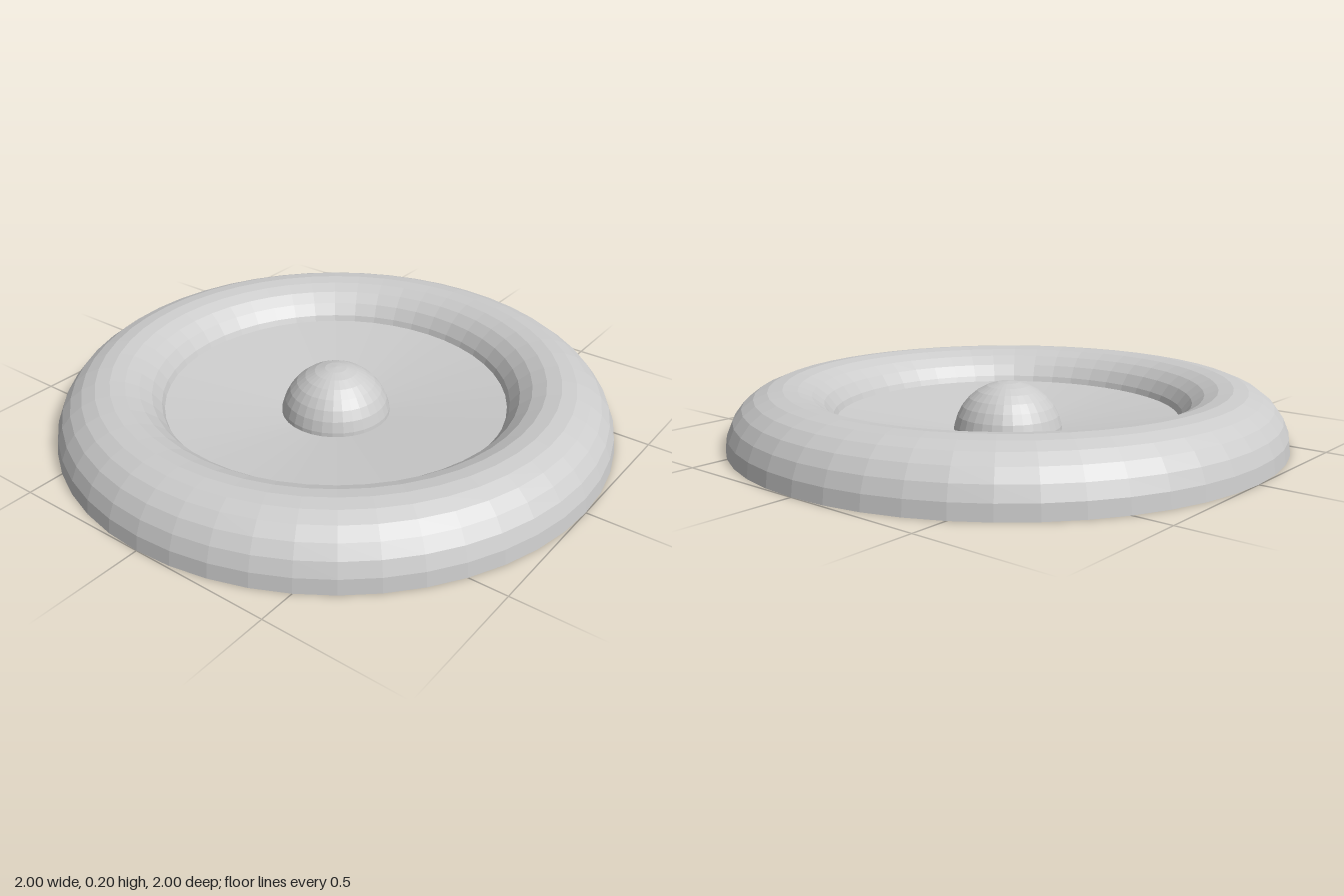
import * as THREE from 'three';

const material = new THREE.MeshStandardMaterial({
  color: 0xcccccc, flatShading: true, side: THREE.DoubleSide,
});

// Revolve a profile of [radius, height] pairs, listed from the outside in
function revolved(name, profile, segments) {
  const points = profile.map(([r, y]) => new THREE.Vector2(r, y));
  const mesh = new THREE.Mesh(new THREE.LatheGeometry(points, segments), material);
  mesh.name = name;
  return mesh;
}

// Circular arc profile from angle 0 to end, starting at the outer side
function arc(centre, radius, end, steps) {
  return Array.from({ length: steps + 1 }, (_, i) => {
    const a = (end * i) / steps;
    return [Math.max(0, centre + radius * Math.cos(a)), radius * Math.sin(a)];
  });
}

export function createModel() {
  const model = new THREE.Group();
  model.name = 'ringDish';

  // Upper half of a ring, open underneath
  model.add(revolved('outerRing', arc(0.8, 0.2, Math.PI, 12), 48));

  // Shallow conical floor, its edge tucked inside the ring
  model.add(revolved('dishFloor', [[0.785, 0.1], [0, 0]], 48));

  // Hollow dome in the middle
  model.add(revolved('centreDome', arc(0, 0.2, Math.PI / 2, 8), 32));

  return model;
}
